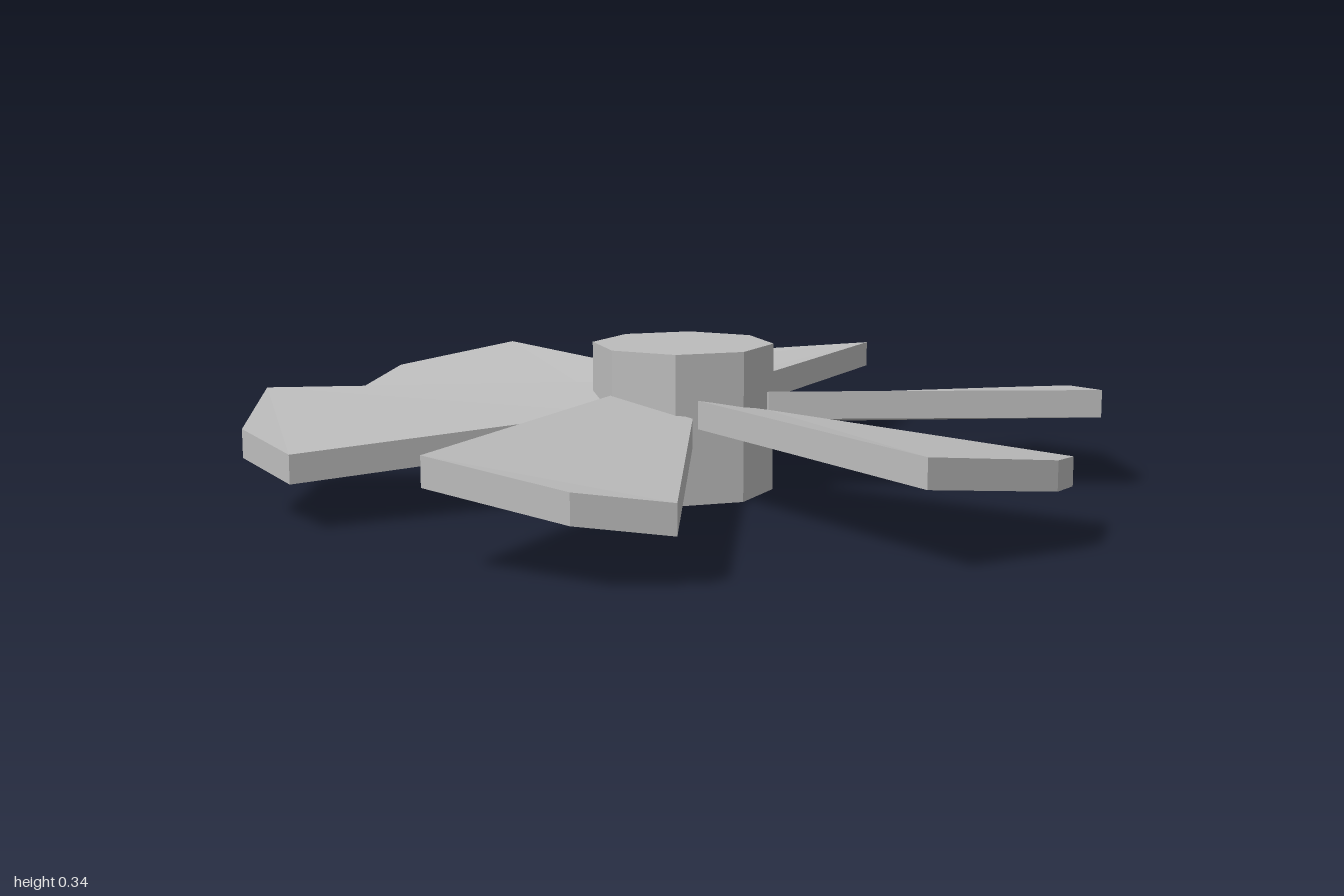
import * as THREE from 'three';

// Blade outline, counter-clockwise from above: x, z, height of the top face
const OUTLINE = [
  [0.19, -0.09, 0.2],    // root, low edge
  [0.18, 0.11, 0.24],    // root, high edge
  [0.95, 0.2, 0.235],    // tip, high corner
  [1.0, -0.13, 0.195],   // tip, middle corner
  [0.9, -0.305, 0.167],  // tip, low corner
];
const THICKNESS = 0.064;

// Pitched plate with vertical sides
function bladeGeometry() {
  const positions = [];
  const n = OUTLINE.length;
  const top = (i) => { const [x, z, y] = OUTLINE[i % n]; return [x, y, z]; };
  const bottom = (i) => { const [x, z, y] = OUTLINE[i % n]; return [x, y - THICKNESS, z]; };
  const tri = (...corners) => corners.forEach((c) => positions.push(...c));

  for (const [a, b, c] of [[0, 1, 2], [0, 2, 4], [4, 2, 3]]) {
    tri(top(a), top(b), top(c));
    tri(bottom(a), bottom(c), bottom(b));
  }
  for (let i = 0; i < n; i++) {
    tri(bottom(i), bottom(i + 1), top(i + 1));
    tri(bottom(i), top(i + 1), top(i));
  }
  const geometry = new THREE.BufferGeometry();
  geometry.setAttribute('position', new THREE.Float32BufferAttribute(positions, 3));
  geometry.computeVertexNormals();
  return geometry;
}

export function createModel() {
  const model = new THREE.Group();
  model.name = 'fan';
  const grey = new THREE.MeshStandardMaterial({ color: 0xbcbcbc, flatShading: true });
  grey.name = 'light grey';

  // Octagonal hub
  const hub = new THREE.Mesh(new THREE.CylinderGeometry(0.21, 0.21, 0.343, 8), grey);
  hub.name = 'hub';
  hub.position.y = 0.1715;
  model.add(hub);

  // Six identical blades around the hub
  const geometry = bladeGeometry();
  for (let i = 0; i < 6; i++) {
    const blade = new THREE.Mesh(geometry, grey);
    blade.name = `blade${i + 1}`;
    blade.rotation.y = (i * Math.PI) / 3;
    model.add(blade);
  }
  return model;
}
